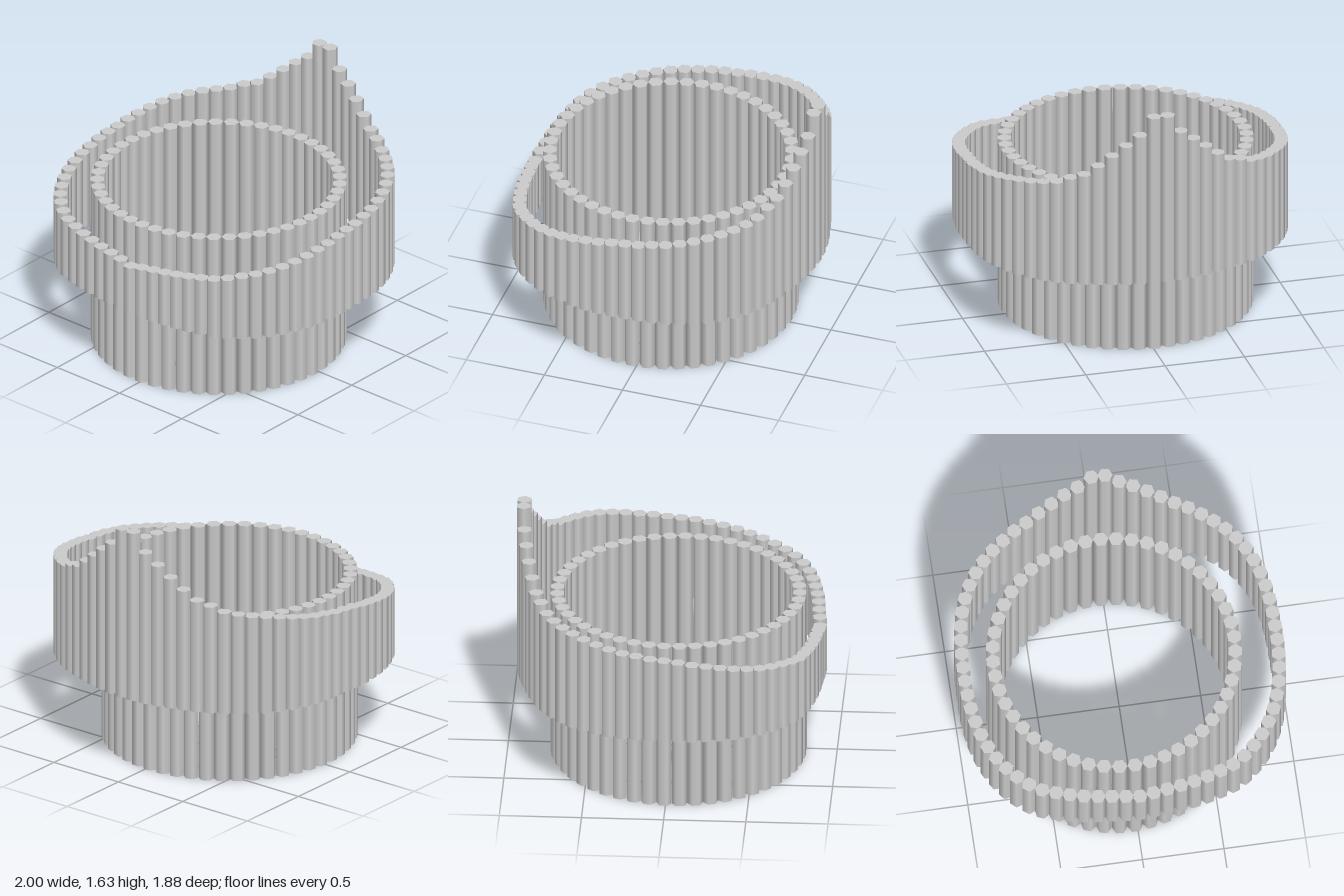
import * as THREE from 'three';

const RADIUS = 0.047;
const material = new THREE.MeshStandardMaterial({ color: 0xcccccc });

// One six-sided post standing at (x, z), turned by the given angle
function post(name, x, z, bottom, top, turn) {
  const mesh = new THREE.Mesh(new THREE.CylinderGeometry(RADIUS, RADIUS, top - bottom, 6), material);
  mesh.name = name;
  mesh.position.set(x, (bottom + top) / 2, z);
  mesh.rotation.y = turn;
  return mesh;
}

// Inner wall: a circle of equal posts, slightly off centre
function innerRing() {
  const ring = new THREE.Group();
  ring.name = 'innerRing';
  const count = 49, r = 0.737;
  for (let i = 0; i < count; i++) {
    const a = (i / count) * Math.PI * 2;
    ring.add(post('innerPost', -0.037 + r * Math.cos(a), 0.037 + r * Math.sin(a), 0, 1.07, -a));
  }
  return ring;
}

// Outer wall: a rounded square of posts, rising from the front to a peak at the back
function outerRing() {
  const ring = new THREE.Group();
  ring.name = 'outerRing';

  // Half outline from front centre to back, mirrored to close the loop
  const half = [[0.16, 0.882], [0.32, 0.865], [0.47, 0.833], [0.62, 0.782], [0.765, 0.665], [0.865, 0.52],
    [0.925, 0.36], [0.953, 0.19], [0.957, 0.02], [0.948, -0.155], [0.92, -0.32], [0.855, -0.48],
    [0.755, -0.615], [0.62, -0.725], [0.47, -0.8], [0.3, -0.857], [0.13, -0.895]];
  const outline = [[0, 0.895], ...half, [0, -0.906], ...half.map(([x, z]) => [-x, z]).reverse()];
  const curve = new THREE.CatmullRomCurve3(outline.map(([x, z]) => new THREE.Vector3(x, 0, z)), true);
  curve.arcLengthDivisions = 1000;

  // Post tops from the front centre to the back
  const tops = [0.84, 0.855, 0.865, 0.875, 0.885, 0.895, 0.905, 0.915, 0.93, 0.945, 0.955, 0.967,
    0.98, 0.995, 1.01, 1.025, 1.037, 1.053, 1.063, 1.07, 1.085, 1.095, 1.11, 1.125,
    1.14, 1.153, 1.163, 1.175, 1.19, 1.225, 1.25, 1.31, 1.377, 1.445, 1.51, 1.627];
  const count = 71;
  for (let i = 0; i < count; i++) {
    const p = curve.getPointAt(i / count);
    const t = curve.getTangentAt(i / count);
    const top = tops[Math.min(i, count - i)];
    // A corner of each post points along the wall
    ring.add(post('outerPost', p.x, p.z, 0.53, top, Math.atan2(t.x, t.z)));
  }
  return ring;
}

export function createModel() {
  const model = new THREE.Group();
  model.name = 'postRings';
  model.add(innerRing(), outerRing());
  return model;
}
